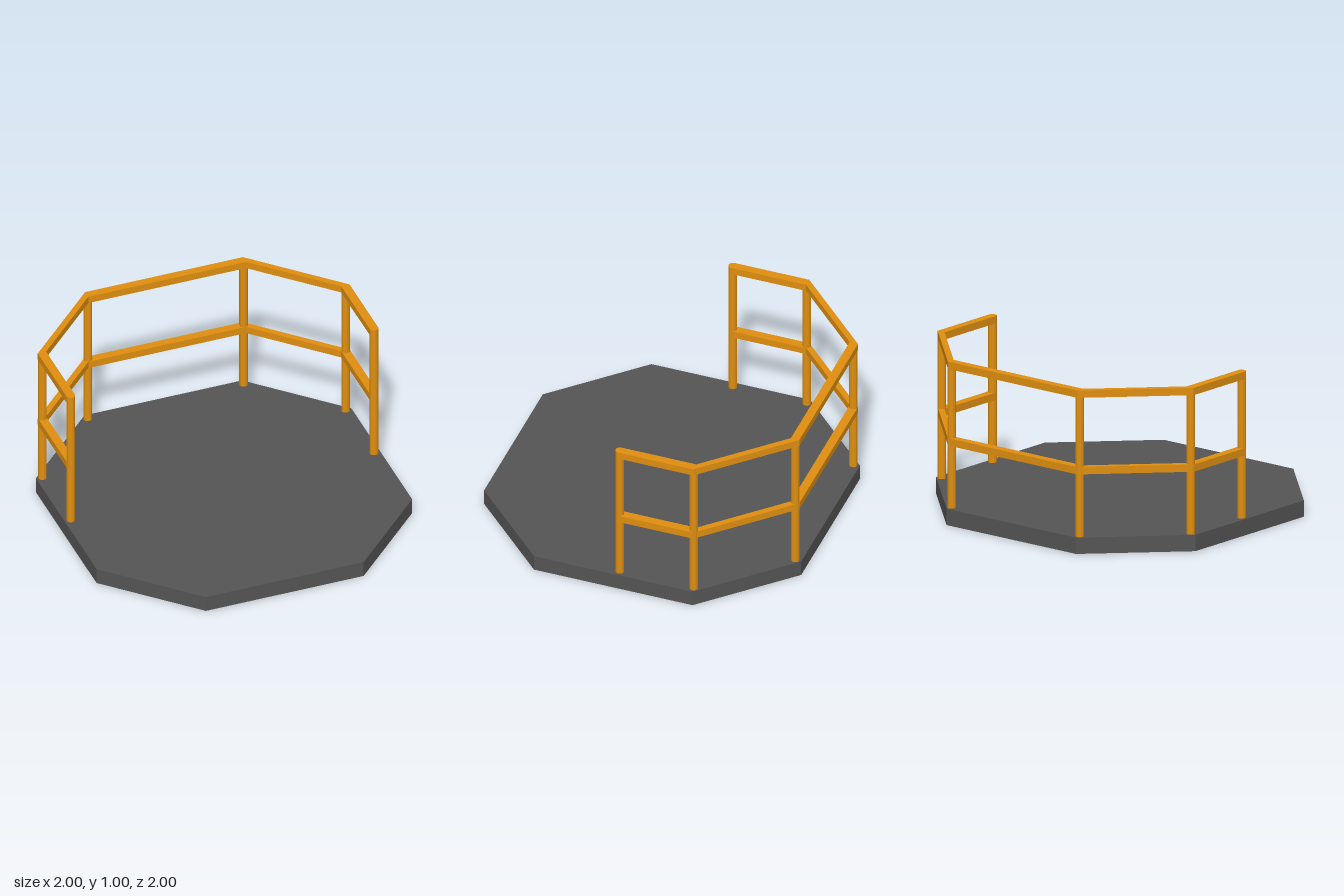
import * as THREE from 'three';

export function createModel() {
  const group = new THREE.Group();
  const deckGrey = new THREE.MeshStandardMaterial({ color: 0x555555, flatShading: true });
  const railOrange = new THREE.MeshStandardMaterial({ color: 0xe08f10, flatShading: true });

  // Extrudes a plan outline (x, distance towards the back) upwards from y
  function addSlab(name, outline, y, height, material) {
    const shape = new THREE.Shape(outline.map(([x, back]) => new THREE.Vector2(x, back)));
    const geometry = new THREE.ExtrudeGeometry(shape, { depth: height, bevelEnabled: false });
    geometry.rotateX(-Math.PI / 2);
    const mesh = new THREE.Mesh(geometry, material);
    mesh.name = name;
    mesh.position.y = y;
    group.add(mesh);
  }

  // Octagonal platform
  addSlab('platform', [
    [1, -0.5], [1, 0.5], [0.5, 1], [-0.5, 1],
    [-1, 0.5], [-1, -0.5], [-0.5, -1], [0.5, -1],
  ], 0, 0.1, deckGrey);

  // Rails following the back five edges, open at the front
  const railPath = (r) => [[r, 0.025], [r, 0.5], [0.5, r], [-0.5, r], [-r, 0.5], [-r, 0.025]];
  const railOutline = [...railPath(0.988), ...railPath(0.935).reverse()];
  addSlab('middleRail', railOutline, 0.485, 0.045, railOrange);
  addSlab('topRail', railOutline, 0.955, 0.045, railOrange);

  // Posts at the rail ends and corners, mirrored left and right
  const posts = [
    ['endPost', 0.961, -0.027, 1.0],
    ['sidePost', 0.961, -0.494, 0.96],
    ['backPost', 0.494, -0.961, 0.96],
  ];
  for (const side of [1, -1]) {
    for (const [name, x, z, top] of posts) {
      const height = top - 0.1;
      const post = new THREE.Mesh(new THREE.CylinderGeometry(0.026, 0.026, height, 12), railOrange);
      post.name = (side > 0 ? 'left ' : 'right ') + name;
      post.position.set(side * x, 0.1 + height / 2, z);
      group.add(post);
    }
  }

  return group;
}
